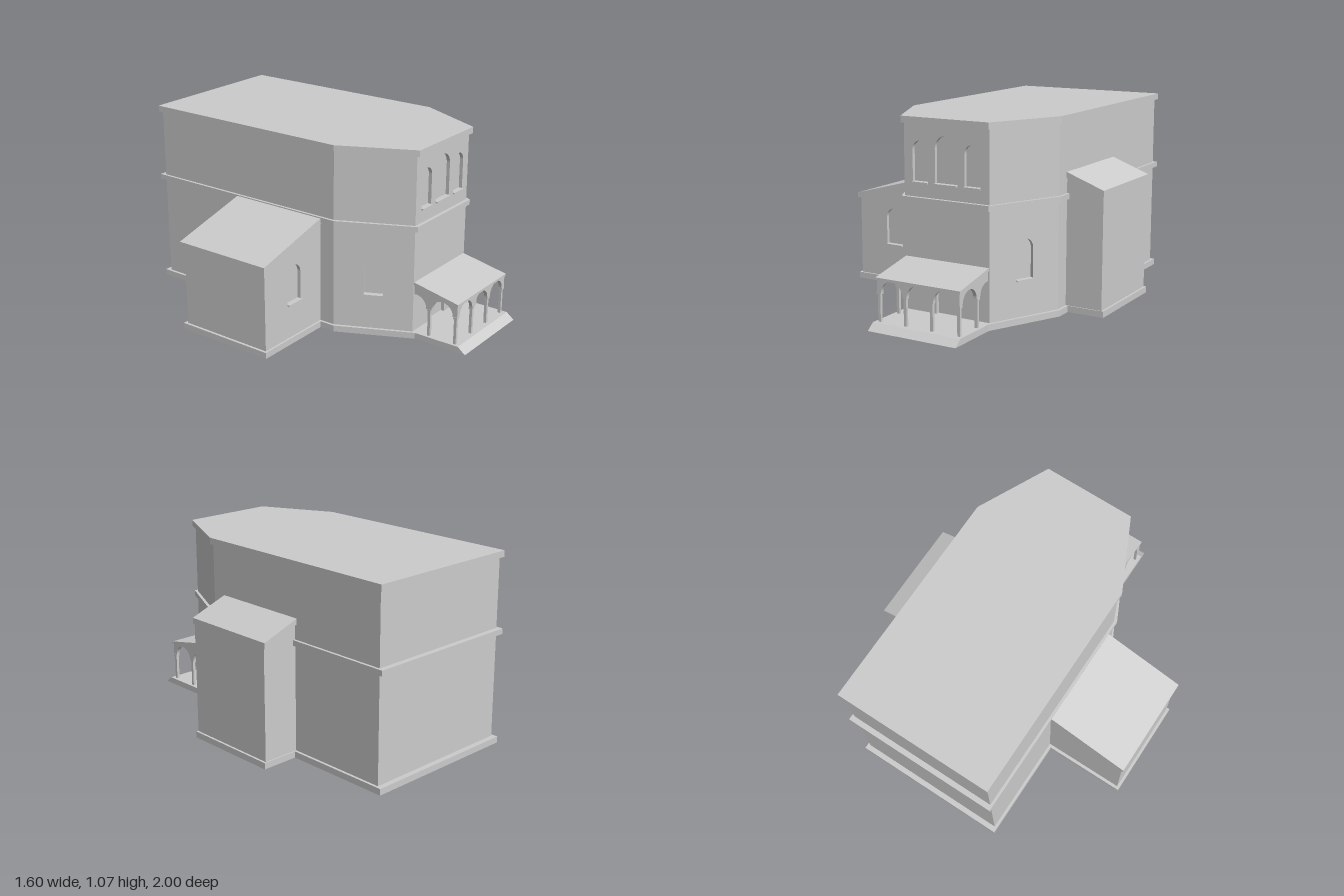
import * as THREE from 'three';

const CX = 0.13;      // centre line of the nave and porch
const RECESS = 0.02;  // depth of the window niches

export function createModel() {
  const model = new THREE.Group();
  model.name = 'church';
  const mat = new THREE.MeshStandardMaterial({ color: 0xcccccc, flatShading: true });

  const add = (name, geo, parent = model) => {
    const mesh = new THREE.Mesh(geo, mat);
    mesh.name = name;
    parent.add(mesh);
    return mesh;
  };
  const box = (name, x0, x1, y0, y1, z0, z1, parent) =>
    add(name, new THREE.BoxGeometry(x1 - x0, y1 - y0, z1 - z0)
      .translate((x0 + x1) / 2, (y0 + y1) / 2, (z0 + z1) / 2), parent);
  const polygon = (pts) => new THREE.Shape(pts.map(([a, b]) => new THREE.Vector2(a, b)));
  const extrude = (shape, depth) =>
    new THREE.ExtrudeGeometry(shape, { depth, bevelEnabled: false, curveSegments: 14 });

  // Footprint given as [half width, z] from back to front, mirrored about CX
  const prism = (name, half, y0, y1) => {
    const pts = [
      ...half.map(([w, z]) => [CX + w, -z]),
      ...[...half].reverse().map(([w, z]) => [CX - w, -z]),
    ];
    add(name, extrude(polygon(pts), y1 - y0).rotateX(-Math.PI / 2).translate(0, y0, 0));
  };
  // Profile in (x, y) drawn out along z
  const alongZ = (name, pts, z0, z1) =>
    add(name, extrude(polygon(pts), z1 - z0).translate(0, 0, z0));
  // Profile in (z, y) drawn out along x
  const alongX = (name, shape, x0, x1) =>
    add(name, extrude(shape, x1 - x0).rotateY(-Math.PI / 2).translate(x1, 0, 0));

  // Round-headed opening
  const archHole = (x, w, y0, y1) => {
    const p = new THREE.Path();
    p.moveTo(x - w / 2, y0);
    p.lineTo(x + w / 2, y0);
    p.lineTo(x + w / 2, y1 - w / 2);
    p.absarc(x, y1 - w / 2, w / 2, 0, Math.PI, false);
    p.lineTo(x - w / 2, y0);
    return p;
  };
  // Wall skin from a to b ([x, z]) with openings [along, width, bottom, top]
  const wall = (name, a, b, topA, topB, openings) => {
    const dx = b[0] - a[0], dz = b[1] - a[1], len = Math.hypot(dx, dz);
    const g = new THREE.Group();
    g.name = name;
    const shape = polygon([[0, 0], [len, 0], [len, topB], [0, topA]]);
    for (const [x, w, y0, y1] of openings) {
      shape.holes.push(archHole(x, w, y0, y1));
      if (y0 > 0.1) box('windowSill', x - w / 2, x + w / 2, y0 - 0.008, y0, -RECESS, 0.012, g);
    }
    add('wallSkin', extrude(shape, RECESS).translate(0, 0, -RECESS), g);
    g.position.set(a[0], 0, a[1]);
    g.rotation.y = -Math.atan2(dz, dx);
    model.add(g);
  };

  // Nave core, with the three front faces set back behind their wall skins
  prism('naveCore', [[0.445, -0.97], [0.445, 0.27], [0.427, 0.261], [0.245, 0.645]], 0, 1.04);
  const side = [[0.5 * 0.438, 0.105, 0.235, 0.45]];
  wall('frontWall', [CX - 0.258, 0.665], [CX + 0.258, 0.665], 1.04, 1.04, [
    [0.1, 0.095, 0.73, 0.945],
    [0.258, 0.135, 0.73, 0.98],
    [0.416, 0.095, 0.73, 0.945],
    [0.258, 0.13, 0.035, 0.24], // door
  ]);
  wall('rightSlantedWall', [CX - 0.445, 0.27], [CX - 0.258, 0.665], 1.04, 1.04, side);
  wall('leftSlantedWall', [CX + 0.258, 0.665], [CX + 0.445, 0.27], 1.04, 1.04, side);

  // Plinth, belt course and cornice
  const band = (back) => [[0.46, back], [0.46, 0.28], [0.265, 0.685]];
  prism('navePlinth', band(-1), 0, 0.035);
  prism('beltCourse', band(-1), 0.62, 0.65);
  prism('cornice', band(-0.988), 1.035, 1.07);

  // Long low wing on the right (-x)
  alongZ('rightWingCore', [[-0.785, 0], [-0.3, 0], [-0.3, 0.63], [-0.785, 0.5]], -0.38, 0.16);
  wall('rightWingFront', [-0.785, 0.18], [-0.3, 0.18], 0.5, 0.63, [[0.24, 0.11, 0.232, 0.445]]);
  alongZ('rightWingRoof',
    [[-0.8, 0.487], [-0.3, 0.62], [-0.3, 0.652], [-0.8, 0.518]], -0.397, 0.192);
  box('rightWingPlinth', -0.8, -0.3, 0, 0.035, -0.397, 0.192);

  // Short tall wing on the left (+x)
  alongZ('leftWingBody', [[0.56, 0], [0.787, 0], [0.787, 0.665], [0.56, 0.745]], -0.378, 0.18);
  alongZ('leftWingRoof',
    [[0.56, 0.739], [0.792, 0.652], [0.792, 0.684], [0.56, 0.77]], -0.39, 0.188);
  box('leftWingPlinth', 0.56, 0.8, 0, 0.035, -0.385, 0.185);

  // Porch floor with a sloped front edge
  alongX('porchFloor',
    polygon([[0.64, 0], [1, 0], [0.955, 0.035], [0.64, 0.035]]), CX - 0.265, CX + 0.265);

  // Arcade panel: flat top corners, scalloped underside
  const SPRING = 0.19, R = 0.066;
  const arcade = (a, topA, b, topB, centres) => {
    const s = new THREE.Shape();
    s.moveTo(b, topB);
    s.lineTo(a, topA);
    s.lineTo(a, SPRING);
    for (const c of centres) {
      s.lineTo(c - R, SPRING);
      s.absarc(c, SPRING, R, Math.PI, 0, true);
    }
    s.lineTo(b, SPRING);
    s.closePath();
    return s;
  };
  const PITCH = 0.16, Z_FRONT = 0.935, HALF = 0.25;
  add('porchFrontArcade', extrude(
    arcade(CX - HALF, 0.265, CX + HALF, 0.265, [CX - PITCH, CX, CX + PITCH]), 0.02)
    .translate(0, 0, Z_FRONT - 0.02));
  for (const x0 of [CX - HALF, CX + HALF - 0.02]) {
    alongX('porchSideArcade', arcade(0.6, 0.325, Z_FRONT, 0.265, [0.677, 0.842]), x0, x0 + 0.02);
  }
  alongX('porchRoof',
    polygon([[0.65, 0.312], [0.94, 0.256], [0.94, 0.27], [0.65, 0.328]]), CX - 0.255, CX + 0.255);

  // Porch columns with small capitals
  const column = (x, z) => {
    box('porchColumn', x - 0.008, x + 0.008, 0.03, 0.182, z - 0.008, z + 0.008);
    box('porchCapital', x - 0.012, x + 0.012, 0.18, 0.191, z - 0.012, z + 0.012);
  };
  for (const k of [-1.5, -0.5, 0.5, 1.5]) column(CX + k * PITCH, Z_FRONT - 0.012);
  for (const k of [-1.5, 1.5]) column(CX + k * PITCH, 0.76);

  return model;
}
